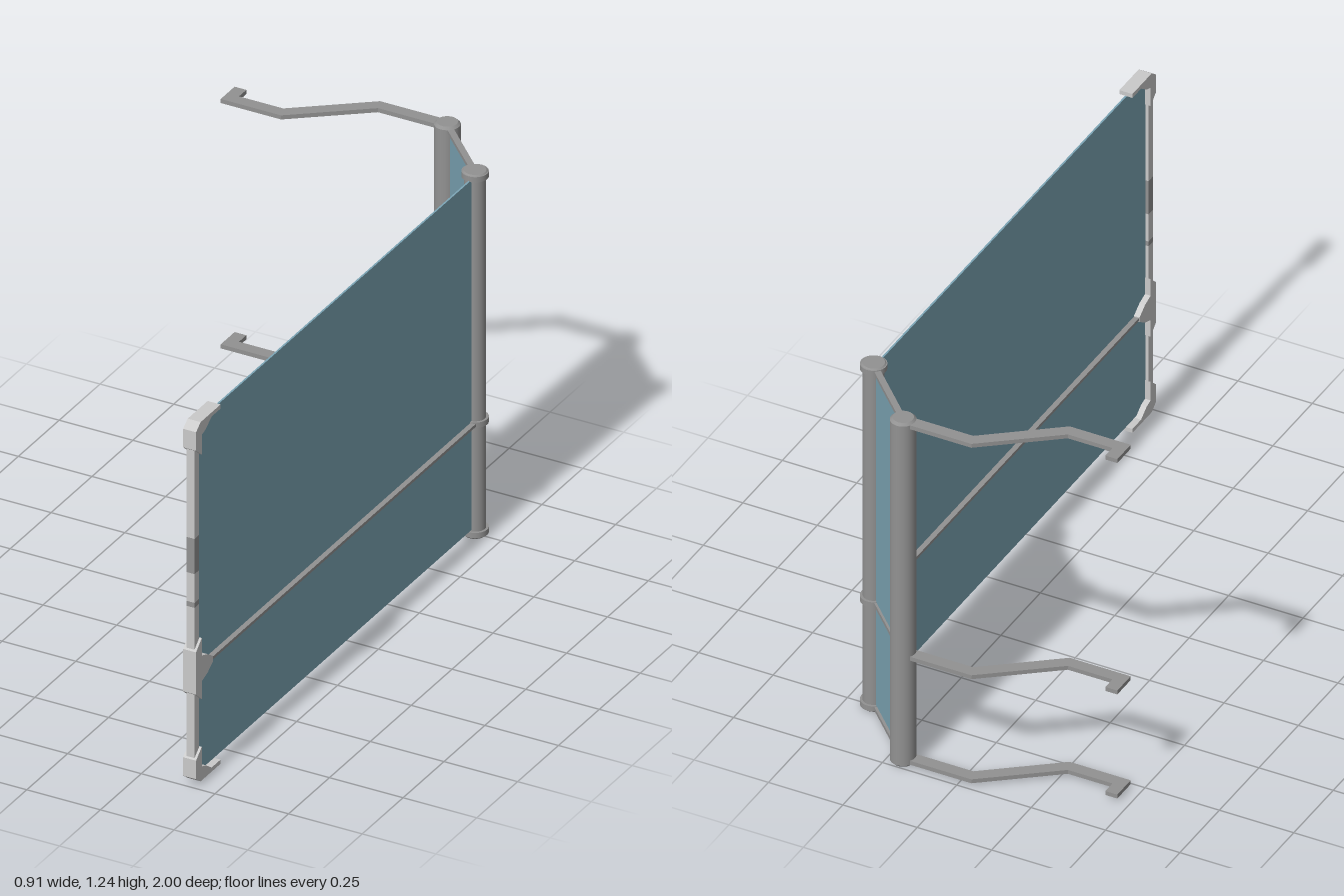
import * as THREE from 'three';

export function createModel() {
  const group = new THREE.Group();
  const mat = (name, color, extra = {}) => new THREE.MeshStandardMaterial({ name, color, ...extra });
  const frameGrey = mat('frameGrey', 0x929292);
  const lightGrey = mat('lightGrey', 0xcacaca);
  const glassBlue = mat('glassBlue', 0x7ca5b5);

  const add = (name, geometry, material, x = 0, y = 0, z = 0) => {
    const mesh = new THREE.Mesh(geometry, material);
    mesh.name = name;
    mesh.position.set(x, y, z);
    group.add(mesh);
    return mesh;
  };
  const extrude = (points, depth) => new THREE.ExtrudeGeometry(
    new THREE.Shape(points.map(([a, b]) => new THREE.Vector2(a, b))), { depth, bevelEnabled: false });

  // Two hinge posts, [x, z]
  const back = [0.2, -0.962], hinge = [0.412, -0.75];
  const levels = [0.02, 0.396, 1.232];
  const MID = 0.625;

  // Solid of revolution with chamfered ends
  const rod = (r, h, c) => new THREE.CylinderGeometry(r, r, h - 2 * c, 32, 1, true);
  const post = (name, [x, z], r, h, c) => {
    add(name, rod(r, h, c), frameGrey, x, MID, z);
    for (const s of [1, -1]) {
      const cap = new THREE.CylinderGeometry(s > 0 ? r - c : r, s > 0 ? r : r - c, c, 32);
      add(name + 'End', cap, frameGrey, x, MID + s * (h - c) / 2, z);
    }
  };
  post('backPost', back, 0.04, 1.242, 0.008);
  post('hingePost', hinge, 0.033, 1.22, 0.004);

  // Collars on the hinge post
  for (const y of levels) {
    add('hingeCollar', new THREE.CylinderGeometry(0.041, 0.041, 0.018, 32), frameGrey, hinge[0], y, hinge[1]);
  }
  for (const s of [1, -1]) {
    add('hingeCap', new THREE.CylinderGeometry(s > 0 ? 0.034 : 0.04, s > 0 ? 0.04 : 0.034, 0.006, 32),
      frameGrey, hinge[0], MID + s * 0.617, hinge[1]);
  }

  // Links and narrow pane between the posts
  const dx = hinge[0] - back[0], dz = hinge[1] - back[1];
  const span = Math.hypot(dx, dz), angle = -Math.atan2(dz, dx);
  const cx = (back[0] + hinge[0]) / 2, cz = (back[1] + hinge[1]) / 2;
  for (const y of levels) {
    add('link', new THREE.BoxGeometry(span, 0.012, 0.02), frameGrey, cx, y, cz).rotation.y = angle;
  }
  add('narrowPane', new THREE.BoxGeometry(span, 1.195, 0.006), glassBlue, cx, MID + 0.002, cz).rotation.y = angle;

  // Cranked wall arms with hooked ends, drawn as [x, -z]
  const arm = extrude([
    [0.2, 0.983], [-0.04, 0.983], [-0.27, 0.805], [-0.42, 0.805], [-0.42, 0.85], [-0.46, 0.85],
    [-0.46, 0.765], [-0.255, 0.765], [-0.025, 0.943], [0.2, 0.943],
  ], 0.014).rotateX(-Math.PI / 2);
  for (const y of levels) add('wallArm', arm, frameGrey, 0, y - 0.007, 0);

  // Wide pane and its cross rail
  const px = 0.414;
  add('widePane', new THREE.BoxGeometry(0.006, 1.192, 1.72), glassBlue, px, 0.629, 0.11);
  add('crossRail', new THREE.BoxGeometry(0.04, 0.01, 1.66), frameGrey, px, 0.396, 0.1);

  // Front edge strip: [bottom, top, material]
  const strips = [
    [0.09, 0.615, lightGrey], [0.615, 0.632, frameGrey], [0.632, 0.73, lightGrey],
    [0.73, 0.85, frameGrey], [0.85, 1.16, lightGrey],
  ];
  for (const [a, b, m] of strips) {
    add('edgeStrip', new THREE.BoxGeometry(0.028, b - a, 0.028), m, px, (a + b) / 2, 0.981);
  }

  // Corner and middle edge brackets, drawn as [z, y]
  const bracket = (name, points) =>
    add(name, extrude(points, 0.044).rotateY(-Math.PI / 2), lightGrey, px + 0.022, 0, 0);
  const corner = [
    [0.85, 1.239], [0.972, 1.239], [1, 1.218], [1, 1.155], [0.965, 1.125],
    [0.965, 1.192], [0.94, 1.2], [0.905, 1.225], [0.85, 1.225],
  ];
  bracket('topCornerBracket', corner);
  bracket('bottomCornerBracket', corner.map(([z, y]) => [z, 2 * MID + 0.004 - y]));
  bracket('middleBracket', [
    [1, 0.468], [0.965, 0.5], [0.965, 0.44], [0.93, 0.428], [0.895, 0.404],
    [0.895, 0.388], [0.93, 0.364], [0.965, 0.352], [0.965, 0.292], [1, 0.324],
  ]);

  return group;
}
